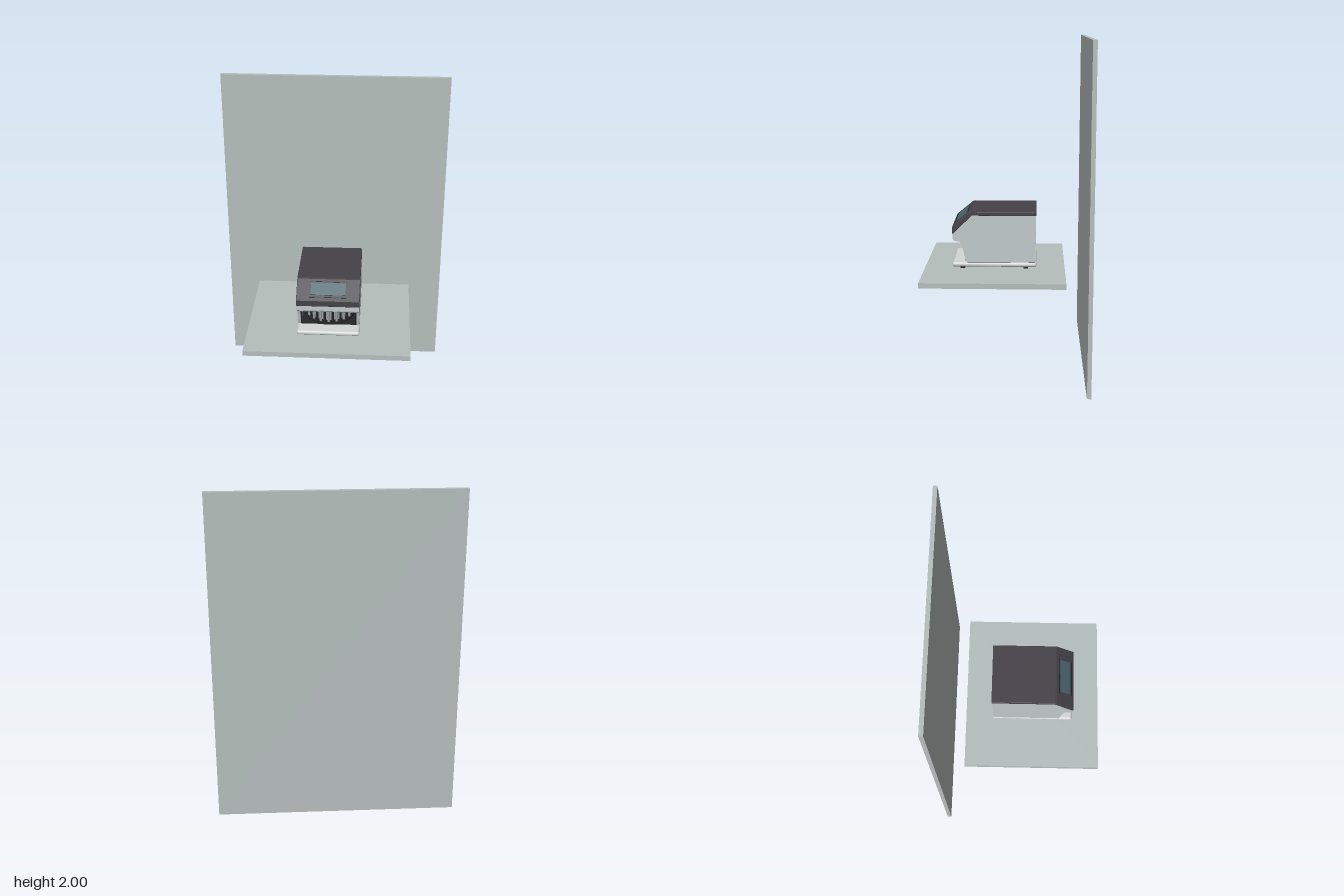
import * as THREE from 'three';
import { RoundedBoxGeometry } from 'three/addons/geometries/RoundedBoxGeometry.js';

const mat = (name, color) => {
  const m = new THREE.MeshStandardMaterial({ color });
  m.name = name;
  return m;
};

export function createModel() {
  const root = new THREE.Group();
  const panelGrey = mat('panel grey', 0xb6bfbd);
  const caseGrey = mat('case grey', 0xc2cacb);
  const baseWhite = mat('base light grey', 0xd3d8d7);
  const coverDark = mat('cover charcoal', 0x444248);
  const screenBlue = mat('screen blue grey', 0x4a646e);
  const black = mat('rubber black', 0x262628);
  const tubeGrey = mat('tube grey', 0x9aa0a1);

  const add = (name, geo, material, x = 0, y = 0, z = 0, parent = root) => {
    const m = new THREE.Mesh(geo, material);
    m.name = name;
    m.position.set(x, y, z);
    parent.add(m);
    return m;
  };
  const box = (name, material, x0, x1, y0, y1, z0, z1) =>
    add(name, new THREE.BoxGeometry(x1 - x0, y1 - y0, z1 - z0), material,
      (x0 + x1) / 2, (y0 + y1) / 2, (z0 + z1) / 2);
  // Side profile in (z, y), extruded across the width and centred on x
  const profile = (pts, width, bevel = 0) => {
    const shape = new THREE.Shape(pts.map(p => new THREE.Vector2(p[0], p[1])));
    const depth = width - 2 * bevel;
    const g = new THREE.ExtrudeGeometry(shape, {
      depth, bevelEnabled: bevel > 0, bevelSize: bevel, bevelOffset: -bevel,
      bevelThickness: bevel, bevelSegments: 2,
    });
    g.translate(0, 0, -depth / 2);
    g.rotateY(-Math.PI / 2);
    return g;
  };

  // Upright panel and shelf
  box('backPanel', panelGrey, -0.712, 0.712, 0, 2, -0.5, -0.475);
  box('shelf', panelGrey, -0.5, 0.5, 0.577, 0.609, -0.358, 0.497);

  // Feet and base tray
  for (const x of [-0.145, 0.145]) for (const z of [0.265, -0.12])
    add('foot', new THREE.CylinderGeometry(0.015, 0.015, 0.018, 20), black, x, 0.617, z);
  add('baseTray', new RoundedBoxGeometry(0.38, 0.027, 0.51, 3, 0.012), baseWhite, 0, 0.6385, 0.07);
  box('baseSeam', black, -0.18, 0.18, 0.65, 0.658, -0.175, 0.235);

  // Case: two side walls, a rear block and the overhanging head
  const headFront = [[0.283, 0.783], [0.31, 0.785], [0.322, 0.795], [0.322, 0.832], [0.208, 0.943]];
  const sidePts = [[-0.18, 0.656], [0.24, 0.656], [0.25, 0.69], [0.262, 0.74], [0.273, 0.775],
    ...headFront, [-0.18, 0.943]];
  for (const s of [-1, 1])
    add('sideWall', profile(sidePts, 0.018), caseGrey, s * 0.179);
  add('head', profile([[-0.178, 0.783], ...headFront, [-0.178, 0.943]], 0.342), caseGrey);
  box('rearBlock', caseGrey, -0.171, 0.171, 0.656, 0.784, -0.179, -0.085);
  box('headTrim', tubeGrey, -0.185, 0.185, 0.797, 0.8, 0.32, 0.324);

  // Dark folded cover with sloping control face
  add('cover', profile([[-0.184, 0.943], [0.207, 0.943], [0.322, 0.829], [0.327, 0.833], [0.327, 0.868],
    [0.32, 0.88], [0.222, 0.961], [0.212, 0.965], [-0.184, 0.965]], 0.38, 0.003), coverDark);

  // Screen and its trims, laid on the slope
  const face = new THREE.Group();
  face.name = 'controlFace';
  face.position.set(0, 0.9205, 0.271);
  face.rotation.x = -Math.atan2(0.098, 0.081);
  root.add(face);
  add('screen', new THREE.BoxGeometry(0.21, 0.078, 0.005), screenBlue, 0, 0, 0.0015, face);
  add('upperTrim', new THREE.BoxGeometry(0.235, 0.003, 0.005), black, 0, 0.047, 0.0005, face);
  add('lowerTrim', new THREE.BoxGeometry(0.225, 0.004, 0.006), black, 0, -0.053, 0.001, face);

  // Carousel with a ring of tubes inside the open bay
  const carousel = new THREE.Group();
  carousel.name = 'carousel';
  carousel.position.set(0, 0, 0.095);
  root.add(carousel);
  const disc = (name, r, y0, y1, m) =>
    add(name, new THREE.CylinderGeometry(r, r, y1 - y0, 48), m, 0, (y0 + y1) / 2, 0, carousel);
  disc('carouselBase', 0.155, 0.657, 0.673, black);
  disc('carouselCore', 0.125, 0.673, 0.77, tubeGrey);
  disc('carouselTop', 0.162, 0.77, 0.783, baseWhite);
  const tubeGeo = new THREE.CylinderGeometry(0.0075, 0.0075, 0.1, 10);
  const count = 36;
  for (let i = 0; i < count; i++) {
    const a = (i / count) * Math.PI * 2;
    add('tube', tubeGeo, i % 2 ? black : tubeGrey, Math.sin(a) * 0.143, 0.721, Math.cos(a) * 0.143, carousel);
  }

  // Slim dark posts at the mouth of the bay
  for (const s of [-1, 1]) {
    const post = add('bayPost', new THREE.BoxGeometry(0.006, 0.115, 0.006), black, s * 0.166, 0.717, 0.254);
    post.rotation.x = 0.2;
  }
  return root;
}
